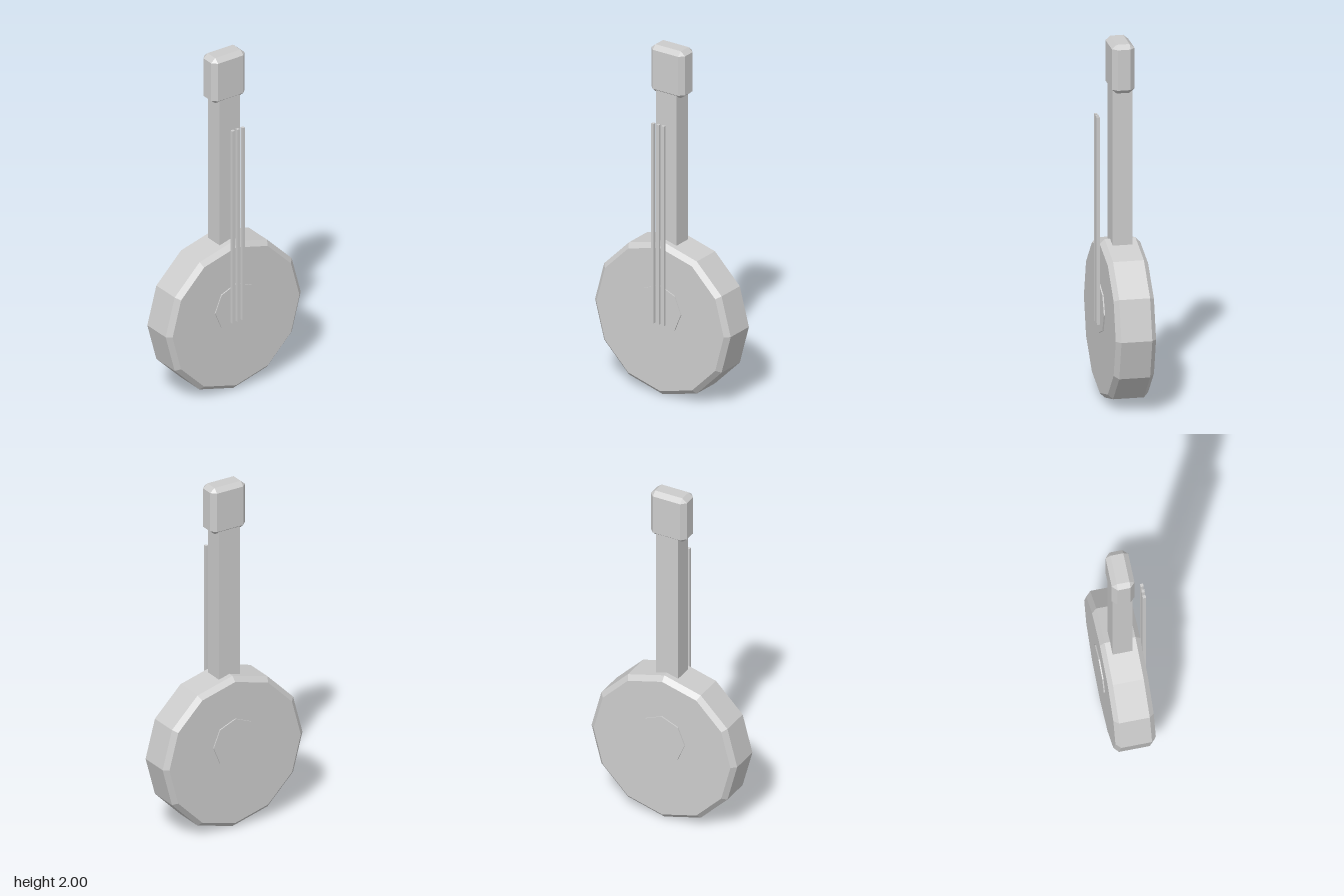
import * as THREE from 'three';
import { ConvexGeometry } from 'three/addons/geometries/ConvexGeometry.js';

const grey = new THREE.MeshStandardMaterial({ color: 0xcccccc });
const AXIS_Z = -0.01; // depth of the instrument's middle plane

// Separate the faces so every facet is flat shaded
function flat(geometry) {
  const g = geometry.index ? geometry.toNonIndexed() : geometry;
  g.computeVertexNormals();
  return g;
}

// Box with all twelve edges chamfered
function chamferedBox(w, h, d, cx, cy, cz) {
  const points = [];
  for (const x of [-1, 1]) for (const y of [-1, 1]) for (const z of [-1, 1]) {
    const [X, Y, Z] = [w / 2, h / 2, d / 2];
    points.push(
      new THREE.Vector3(x * X, y * (Y - cy), z * (Z - cz)),
      new THREE.Vector3(x * (X - cx), y * Y, z * (Z - cz)),
      new THREE.Vector3(x * (X - cx), y * (Y - cy), z * Z)
    );
  }
  return new ConvexGeometry(points);
}

export function createModel() {
  const group = new THREE.Group();
  function add(name, geometry, x, y, z) {
    const mesh = new THREE.Mesh(flat(geometry), grey);
    mesh.name = name;
    mesh.position.set(x, y, z);
    group.add(mesh);
    return mesh;
  }

  // Twelve-sided drum body with bevelled rims
  const profile = [[0, -0.11], [0.417, -0.11], [0.444, -0.084], [0.444, 0.084], [0.417, 0.11], [0, 0.11]]
    .map(([r, y]) => new THREE.Vector2(r, y));
  add('body', new THREE.LatheGeometry(profile, 12).rotateX(Math.PI / 2), 0, 0.444, AXIS_Z);

  // Octagonal disc showing on both faces
  add('soundDisc', new THREE.CylinderGeometry(0.14, 0.14, 0.234, 8).rotateX(Math.PI / 2), 0, 0.506, AXIS_Z);

  // Neck and chamfered head
  add('neck', new THREE.BoxGeometry(0.134, 0.9, 0.108), 0, 1.3, AXIS_Z);
  add('head', chamferedBox(0.22, 0.273, 0.124, 0.027, 0.023, 0.027), 0, 1.8635, AXIS_Z);

  // Three strings
  for (const x of [-0.033, 0, 0.033]) {
    add('string', new THREE.BoxGeometry(0.017, 1.162, 0.017), x, 1.004, 0.1155);
  }

  return group;
}
